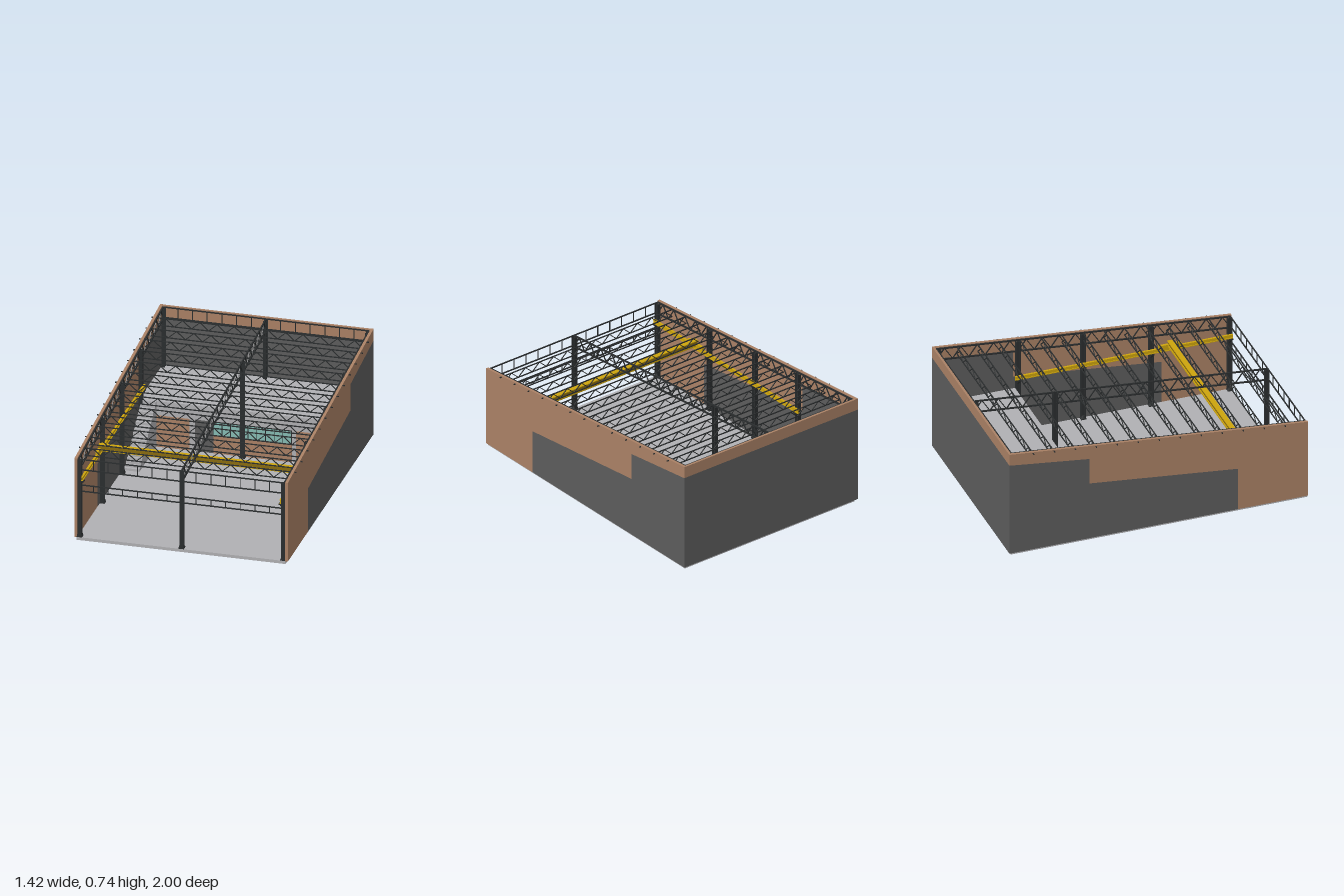
import * as THREE from 'three';
import { mergeGeometries } from 'three/addons/utils/BufferGeometryUtils.js';

const paint = (name, color) => Object.assign(new THREE.MeshStandardMaterial({ color }), { name });

export function createModel() {
  const model = new THREE.Group();
  model.name = 'industrialHall';
  const concrete = paint('concrete', 0xb0b0b3);
  const clay = paint('clay panel', 0xaa8165);
  const grey = paint('dark grey panel', 0x5c5c5c);
  const steel = paint('steel', 0x2a2d2e);
  const yellow = paint('crane yellow', 0xcda40c);
  const ochre = paint('crane web', 0x8a6c0c);
  const glass = paint('glass', 0x86bcb4);

  const roofY = z => 0.652 - 0.0925 * z;
  const V = (x, y, z) => new THREE.Vector3(x, y, z);

  function add(name, geometry, material, parent = model) {
    const mesh = new THREE.Mesh(geometry, material);
    mesh.name = name;
    parent.add(mesh);
    return mesh;
  }
  // box given by its limits on each axis
  function boxGeo(x0, x1, y0, y1, z0, z1) {
    return new THREE.BoxGeometry(x1 - x0, y1 - y0, z1 - z0)
      .translate((x0 + x1) / 2, (y0 + y1) / 2, (z0 + z1) / 2);
  }
  const box = (name, material, ...limits) => add(name, boxGeo(...limits), material);

  // square bar between two points
  function bar(a, b, w) {
    const helper = new THREE.Object3D();
    helper.position.copy(a).add(b).multiplyScalar(0.5);
    helper.lookAt(b);
    helper.updateMatrix();
    return new THREE.BoxGeometry(w, w, a.distanceTo(b)).applyMatrix4(helper.matrix);
  }
  // truss below the line a-b: zigzag web, or upright posts only
  function truss(name, a, b, depth, bays, zigzag, chord, web) {
    const down = V(0, -depth, 0);
    const at = (i, low) => {
      const p = a.clone().lerp(b, i / bays);
      return low ? p.add(down) : p;
    };
    const parts = [bar(a, b, chord), bar(at(0, true), at(bays, true), chord)];
    for (let i = 0; i <= bays; i++) {
      if (!zigzag) parts.push(bar(at(i, false), at(i, true), web));
      else if (i < bays) parts.push(bar(at(i, i % 2 === 0), at(i + 1, i % 2 === 1), web));
    }
    return add(name, mergeGeometries(parts), steel);
  }
  // side profile of [z, y] points, extruded from x0 to x1
  function profile(name, points, x0, x1, material) {
    const shape = new THREE.Shape(points.map(p => new THREE.Vector2(...p)));
    const geo = new THREE.ExtrudeGeometry(shape, { depth: x1 - x0, bevelEnabled: false });
    return add(name, geo.rotateY(-Math.PI / 2).translate(x1, 0, 0), material);
  }

  // Floor and walls
  box('floorSlab', concrete, -0.68, 0.68, 0, 0.02, -0.985, 1);
  const step = [[0.53, 0.315], [-0.465, 0.42], [-0.465, 0.6], [-1, 0.665]];
  for (const s of [-1, 1]) {
    const [x0, x1] = s > 0 ? [0.677, 0.695] : [-0.695, -0.677];
    profile('sideWallLower', [[-1, 0.018], [0.53, 0.018], ...step], x0, x1, grey);
    profile('sideWallUpper',
      [[0.53, 0.018], [1, 0.018], [1, roofY(1)], [-1, roofY(-1)], ...step.slice().reverse()], x0, x1, clay);
  }
  box('backWallLower', grey, -0.677, 0.677, 0.018, 0.665, -1, -0.985);
  box('backWallUpper', clay, -0.677, 0.677, 0.665, roofY(-0.99), -1, -0.985);

  // Mezzanine with the office front below it
  box('mezzanineFloor', concrete, -0.677, 0.677, 0.31, 0.333, -0.985, -0.45);
  box('officeWall', concrete, -0.677, 0.677, 0.02, 0.31, -0.47, -0.452);
  const front = (name, mat, x0, x1, y0, y1, t = 0.005) => box(name, mat, x0, x1, y0, y1, -0.452, -0.452 + t);
  front('officePanelLeft', clay, -0.565, -0.35, 0.02, 0.235);
  front('officePanelRight', clay, 0.345, 0.645, 0.02, 0.235);
  front('officePanelMiddle', clay, -0.195, 0.315, 0.02, 0.145);
  front('officeDoor', grey, -0.315, -0.195, 0.02, 0.235);
  front('officeWindow', glass, -0.195, 0.315, 0.145, 0.235);
  for (let i = 0; i <= 9; i++) {
    const x = -0.195 + i * 0.0567;
    front('windowMullion', steel, x - 0.002, x + 0.002, 0.145, 0.235, 0.008);
  }
  for (const y of [0.145, 0.235]) front('windowRail', steel, -0.195, 0.315, y - 0.002, y + 0.002, 0.008);

  // Stair
  const treads = 20, run = 0.4 / treads, rise = 0.313 / treads;
  const stair = [[-0.45, 0.02], [-0.05, 0.02]];
  for (let i = 0; i < treads; i++) {
    stair.push([-0.05 - i * run, 0.02 + (i + 1) * rise], [-0.05 - (i + 1) * run, 0.02 + (i + 1) * rise]);
  }
  profile('stair', stair, -0.662, -0.565, concrete);

  // H-section columns with base plates and gussets
  function column(x, z) {
    const top = roofY(z) - 0.012, w = 0.012, d = 0.015;
    add('column', mergeGeometries([
      boxGeo(x - w, x + w, 0.02, top, z + d - 0.005, z + d),
      boxGeo(x - w, x + w, 0.02, top, z - d, z - d + 0.005),
      boxGeo(x - 0.003, x + 0.003, 0.02, top, z - d, z + d),
      boxGeo(x - 0.018, x + 0.018, 0.02, 0.026, z - 0.018, z + 0.018),
      new THREE.CylinderGeometry(0.017, 0.024, 0.022, 4).rotateY(Math.PI / 4).translate(x, 0.035, z),
    ]), steel);
  }
  for (const z of [0.982, -0.435, -0.967]) column(0, z);
  const bracketZ = [0.982, 0.455, 0, -0.435];
  for (const s of [-1, 1]) {
    for (const z of [...bracketZ, -0.967]) column(s * 0.663, z);
    // Crane brackets and runway
    for (const z of bracketZ) {
      add('craneBracket', mergeGeometries([
        boxGeo(s * 0.65 - 0.016, s * 0.65 + 0.016, 0.4, 0.408, z - 0.014, z + 0.014),
        bar(V(s * 0.664, 0.375, z), V(s * 0.642, 0.402, z), 0.012),
      ]), steel);
    }
    const x = s * 0.647;
    add('craneRunway', mergeGeometries([
      boxGeo(x - 0.007, x + 0.007, 0.408, 0.413, -0.46, 0.997),
      boxGeo(x - 0.002, x + 0.002, 0.413, 0.431, -0.46, 0.997),
      boxGeo(x - 0.007, x + 0.007, 0.431, 0.436, -0.46, 0.997),
    ]), yellow);
    box('craneEndTruck', yellow, x - 0.009, x + 0.009, 0.436, 0.455, 0.5, 0.65);
  }
  // Crane bridge
  box('craneBridgeBottom', yellow, -0.655, 0.655, 0.438, 0.449, 0.56, 0.594);
  box('craneBridgeWeb', ochre, -0.655, 0.655, 0.449, 0.472, 0.566, 0.588);
  box('craneBridgeTop', yellow, -0.655, 0.655, 0.472, 0.477, 0.56, 0.594);

  // Roof joists, with chord ends passing through the side walls
  for (let i = 1; i <= 13; i++) {
    const z = -0.982 + i * 0.1405, y = roofY(z) - 0.008;
    truss('roofJoist', V(-0.672, y, z), V(0.672, y, z), 0.05, 24, true, 0.006, 0.005);
    add('joistEnds', bar(V(-0.708, y, z), V(0.708, y, z), 0.006), steel);
  }
  // Lengthwise girders
  for (const x of [-0.67, 0, 0.67]) {
    truss('girder', V(x, roofY(0.99) - 0.007, 0.99), V(x, roofY(-0.98) - 0.007, -0.98), 0.08, 36, true, 0.009, 0.006);
  }
  // End frames with upright posts
  truss('frontTopFrame', V(-0.67, 0.553, 0.99), V(0.67, 0.553, 0.99), 0.071, 14, false, 0.007, 0.005);
  truss('frontGirt', V(-0.67, 0.377, 0.99), V(0.67, 0.377, 0.99), 0.042, 14, false, 0.007, 0.005);
  truss('backTopFrame', V(-0.67, 0.736, -0.978), V(0.67, 0.736, -0.978), 0.071, 14, false, 0.007, 0.005);
  return model;
}
